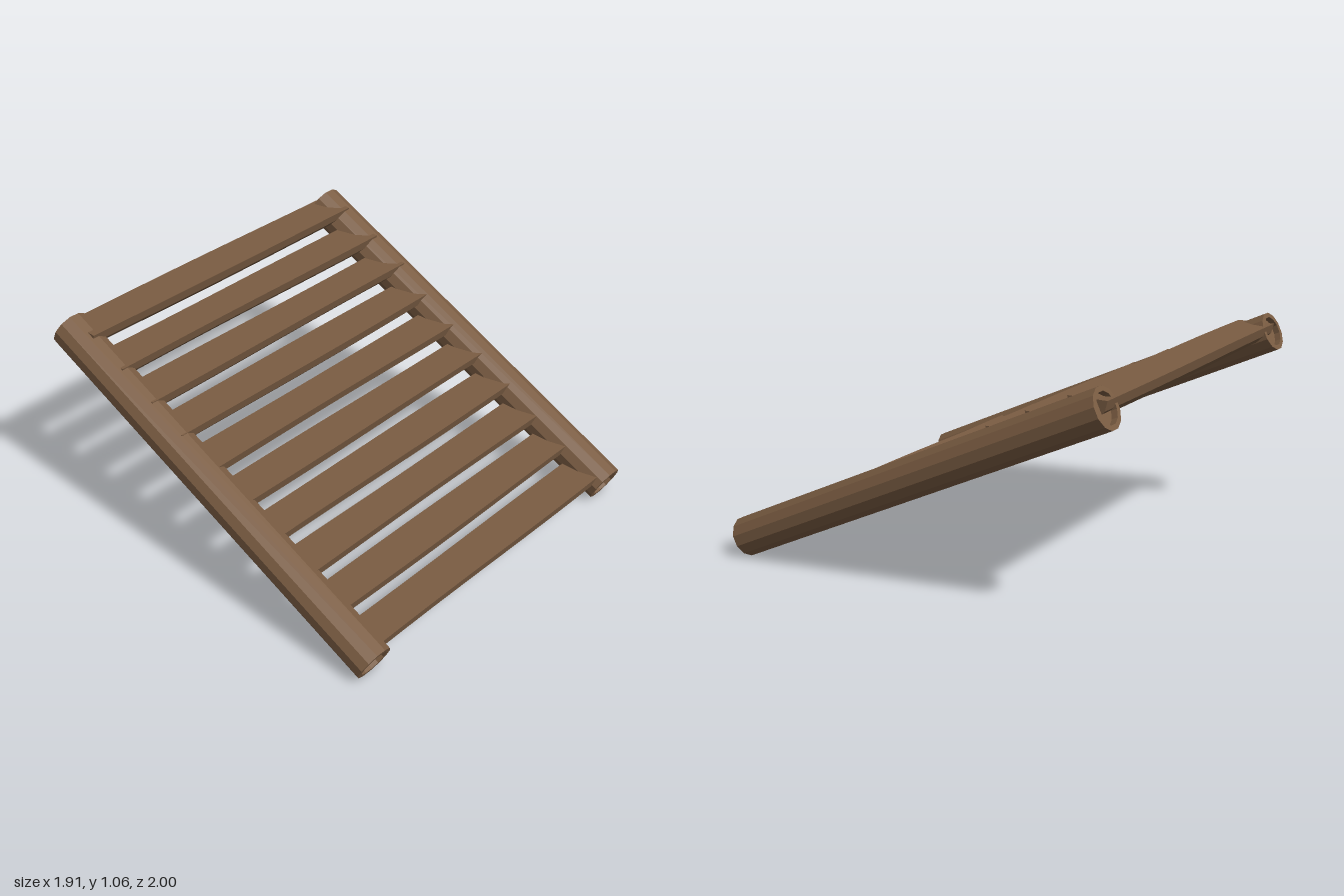
import * as THREE from 'three';

const SLOPE = THREE.MathUtils.degToRad(25);
const RADIUS = 0.096, LENGTH = 2.118, RAIL_X = 0.863;
const STEPS = 10, STEP_HALF = 0.87, STEP_RADIUS = 0.095;

// Split the faces so that every facet is flat
function faceted(geometry) {
  const g = geometry.index ? geometry.toNonIndexed() : geometry;
  g.computeVertexNormals();
  return g;
}

// Twelve-sided log with a shallow recess in each end
function railGeometry() {
  const h = LENGTH / 2, inner = 0.073, recess = 0.03;
  const profile = [
    [0, -h + recess], [inner, -h + recess], [inner, -h], [RADIUS, -h],
    [RADIUS, h], [inner, h], [inner, h - recess], [0, h - recess],
  ].map(([x, y]) => new THREE.Vector2(x, y));
  return faceted(new THREE.LatheGeometry(profile, 12, Math.PI / 12));
}

// Split log, flat side up, with slightly uneven edges along its length
function stepGeometry(i) {
  const points = [];
  for (let k = 0; k <= 6; k++) {
    const a = Math.PI + (k / 6) * Math.PI;
    points.push(new THREE.Vector2(Math.cos(a) * STEP_RADIUS, Math.sin(a) * STEP_RADIUS));
  }
  const g = new THREE.ExtrudeGeometry(new THREE.Shape(points), {
    depth: STEP_HALF * 2, steps: 8, bevelEnabled: false,
  });
  g.translate(0, 0, -STEP_HALF);
  g.rotateY(Math.PI / 2);
  const p = g.attributes.position;
  for (let v = 0; v < p.count; v++) {
    const x = p.getX(v), y = p.getY(v), z = p.getZ(v);
    const swell = 1 + 0.03 * Math.sin(x * 3.1 + i * 2.3);
    const bend = 0.003 * Math.sin(x * 2.4 + i * 1.7);
    p.setXYZ(v, x, y * swell + bend, z * swell + bend);
  }
  return faceted(g);
}

export function createModel() {
  const model = new THREE.Group();
  model.name = 'logRamp';
  const wood = new THREE.MeshStandardMaterial({ color: 0x7b5d43 });
  wood.name = 'brownWood';

  // Two sloping side logs
  const railShape = railGeometry();
  for (const side of [-1, 1]) {
    const rail = new THREE.Mesh(railShape, wood);
    rail.name = side > 0 ? 'leftRail' : 'rightRail';
    rail.position.set(side * RAIL_X, 0.538, 0);
    rail.rotation.x = SLOPE - Math.PI / 2;
    model.add(rail);
  }

  // Level treads climbing toward the back
  const treads = new THREE.Group();
  treads.name = 'treads';
  for (let i = 0; i < STEPS; i++) {
    const tread = new THREE.Mesh(stepGeometry(i), wood);
    tread.name = 'tread' + (i + 1);
    tread.position.set(0, 0.162 + i * 0.0953, 0.855 - i * 0.1917);
    treads.add(tread);
  }
  model.add(treads);
  return model;
}
